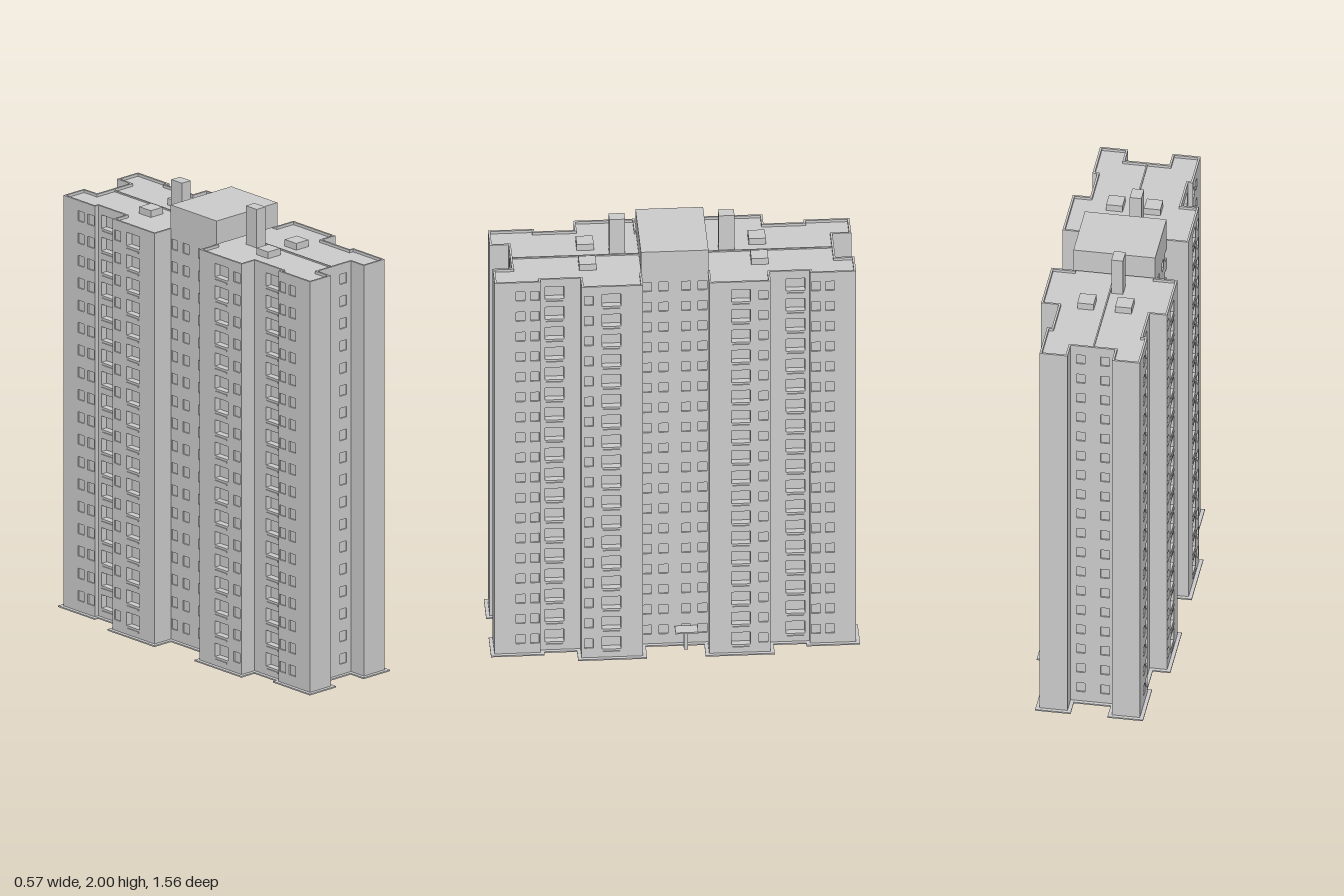
import * as THREE from 'three';
import { mergeGeometries } from 'three/addons/utils/BufferGeometryUtils.js';

const FLOORS = 18, FLOOR_H = 0.0998, FIRST_Y = 0.075;
const WALL_TOP = 1.84, ROOF_Y = 1.828;

const mat = new THREE.MeshStandardMaterial({ color: 0xcccccc, flatShading: true, side: THREE.DoubleSide });

// Window columns: position along the wall, width, height, recess depth
const small = (at) => ({ at, w: 0.038, h: 0.045, d: 0.006 });
const loggia = (at) => ({ at, w: 0.08, h: 0.06, d: 0.03, sill: true });
const SIDE_COLUMNS = [];
for (const s of [1, -1]) {
  SIDE_COLUMNS.push(...[0.655, 0.595, 0.37, 0.118, 0.048].map((z) => small(s * z)));
  SIDE_COLUMNS.push(loggia(s * 0.51), loggia(s * 0.274));
}
const NOTCH_COLUMNS = [small(-0.052), small(0.052)];

// Stepped footprint, mirrored from one quarter and grown outward by d
function footprint(d) {
  const q = [
    [0.095 - d, 0.685 + d], [0.095 - d, 0.765 + d], [0.215 + d, 0.765 + d],
    [0.215 + d, 0.57 - d], [0.195 + d, 0.57 - d], [0.195 + d, 0.4 + d],
    [0.27 + d, 0.4 + d], [0.27 + d, 0.14 - d], [0.175 + d, 0.14 - d],
  ];
  const r = [...q].reverse();
  return [
    ...q, ...r.map(([x, z]) => [x, -z]),
    ...q.map(([x, z]) => [-x, -z]), ...r.map(([x, z]) => [-x, z]),
  ];
}

const toPoints = (pts) => pts.map(([x, z]) => new THREE.Vector2(x, -z));

// Flat slab or ring following the footprint
function slab(name, outer, inner, y0, y1) {
  const shape = new THREE.Shape(toPoints(footprint(outer)));
  if (inner !== null) shape.holes.push(new THREE.Path(toPoints(footprint(inner))));
  const geo = new THREE.ExtrudeGeometry(shape, { depth: y1 - y0, bevelEnabled: false });
  geo.rotateX(-Math.PI / 2).translate(0, y0, 0);
  const mesh = new THREE.Mesh(geo, mat);
  mesh.name = name;
  return mesh;
}

function box(name, x0, x1, y0, y1, z0, z1) {
  const geo = new THREE.BoxGeometry(x1 - x0, y1 - y0, z1 - z0);
  geo.translate((x0 + x1) / 2, (y0 + y1) / 2, (z0 + z1) / 2);
  const mesh = new THREE.Mesh(geo, mat);
  mesh.name = name;
  return mesh;
}

function rect(Type, x0, y0, x1, y1) {
  const p = new Type();
  p.moveTo(x0, y0).lineTo(x1, y0).lineTo(x1, y1).lineTo(x0, y1).closePath();
  return p;
}

// Open-fronted box forming the reveal and pane of a window
function recess(w, h, d) {
  const geo = new THREE.BoxGeometry(w, h, d);
  const index = Array.from(geo.index.array);
  index.splice(24, 6);
  geo.setIndex(index);
  return geo.translate(0, 0, -d / 2);
}

// One wall between two footprint corners, with its window columns cut in
function wall(a, b) {
  const dx = b[0] - a[0], dz = b[1] - a[1];
  const length = Math.hypot(dx, dz);
  const facesSide = Math.abs(dz) > Math.abs(dx);
  const axis = facesSide ? 1 : 0;
  const isNotch = !facesSide && Math.abs(Math.abs(a[1]) - 0.685) < 1e-6;
  const columns = facesSide ? SIDE_COLUMNS : isNotch ? NOTCH_COLUMNS : [];
  const dir = Math.sign(b[axis] - a[axis]);

  const group = new THREE.Group();
  group.name = facesSide ? 'sideWall' : 'endWall';
  const shape = rect(THREE.Shape, 0, 0, length, WALL_TOP);
  const recesses = [], sills = [];
  for (const c of columns) {
    const u = (c.at - a[axis]) * dir;
    if (u - c.w / 2 < 0 || u + c.w / 2 > length) continue;
    for (let i = 0; i < FLOORS; i++) {
      const y = FIRST_Y + i * FLOOR_H;
      shape.holes.push(rect(THREE.Path, u - c.w / 2, y - c.h / 2, u + c.w / 2, y + c.h / 2));
      recesses.push(recess(c.w, c.h, c.d).translate(u, y, 0));
      if (c.sill) sills.push(new THREE.BoxGeometry(0.072, 0.007, 0.008).translate(u, y - 0.043, 0));
    }
  }
  const add = (name, geo) => {
    const mesh = new THREE.Mesh(geo, mat);
    mesh.name = name;
    group.add(mesh);
  };
  add('wallPanel', new THREE.ShapeGeometry(shape));
  if (recesses.length) add('windows', mergeGeometries(recesses));
  if (sills.length) add('sills', mergeGeometries(sills));
  group.position.set(a[0], 0, a[1]);
  group.rotation.y = Math.atan2(-dz, dx);
  return group;
}

export function createModel() {
  const model = new THREE.Group();
  model.name = 'apartmentTower';

  // Outer walls, open underneath
  const walls = new THREE.Group();
  walls.name = 'walls';
  const corners = footprint(0);
  corners.forEach((p, i) => walls.add(wall(p, corners[(i + 1) % corners.length])));
  model.add(walls);

  // Ground skirt, roof and parapet
  model.add(slab('skirt', 0.016, 0, 0, 0.006));
  model.add(slab('roof', -0.004, null, ROOF_Y - 0.006, ROOF_Y));
  model.add(slab('parapet', 0, -0.009, ROOF_Y - 0.004, WALL_TOP));

  // Machine room over the central bay
  model.add(box('machineRoom', -0.175, 0.175, ROOF_Y + 0.012, 1.945, -0.143, 0.143));

  // Rooftop shafts, hatches and seam on both halves
  for (const s of [1, -1]) {
    const span = (p, q) => (s > 0 ? [p, q] : [-q, -p]);
    model.add(box('chimney', -0.058, -0.008, ROOF_Y, 2, ...span(0.198, 0.265)));
    model.add(box('roofSeam', -0.003, 0.003, ROOF_Y, ROOF_Y + 0.006, ...span(0.143, 0.68)));
    for (const x of [-0.082, 0.08]) {
      model.add(box('roofHatch', x - 0.035, x + 0.035, ROOF_Y, 1.858, ...span(0.328, 0.4)));
    }
  }

  // Entrance canopy on the left side
  const entrance = new THREE.Group();
  entrance.name = 'entrance';
  entrance.add(box('canopy', 0.175, 0.232, 0.083, 0.09, -0.096, 0));
  entrance.add(box('canopyPost', 0.205, 0.222, 0, 0.083, -0.053, -0.036));
  model.add(entrance);

  return model;
}
